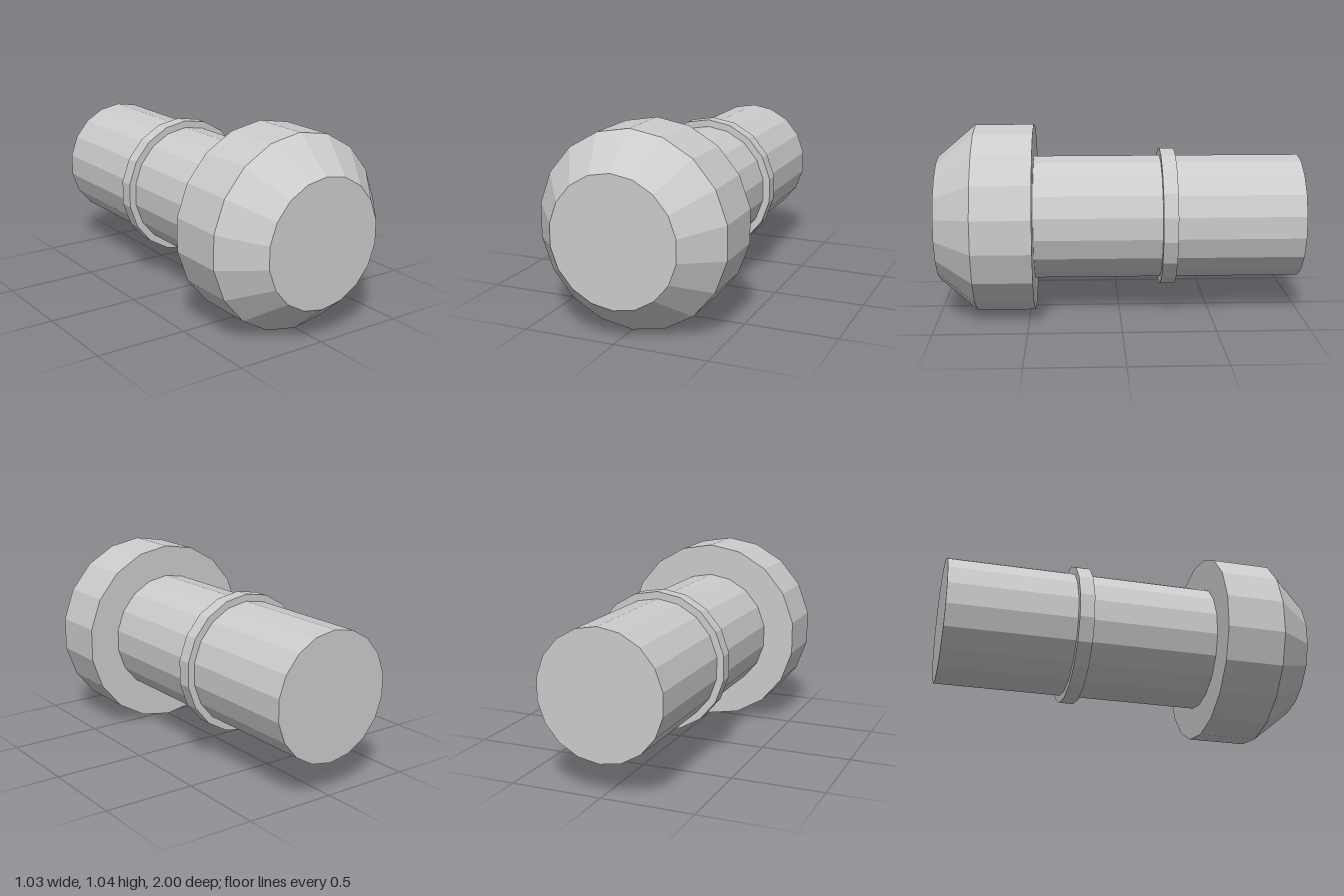
import * as THREE from 'three';

const SIDES = 18;
const AXIS_Y = 0.521;

export function createModel() {
  const group = new THREE.Group();
  group.name = 'flangedPlug';
  const material = new THREE.MeshStandardMaterial({ color: 0xcccccc, flatShading: true });

  // Faceted section along z, from zBack to zFront
  const addSection = (name, rFront, rBack, zFront, zBack, capped = true) => {
    const geometry = new THREE.CylinderGeometry(rFront, rBack, zFront - zBack, SIDES, 1, !capped);
    geometry.rotateX(Math.PI / 2);
    const mesh = new THREE.Mesh(geometry, material);
    mesh.name = name;
    mesh.position.set(0, AXIS_Y, (zFront + zBack) / 2);
    group.add(mesh);
  };

  // Head: chamfered nose and straight rim in one closed profile
  const profile = [[0, 0.47], [0.521, 0.47], [0.521, 0.79], [0.344, 1], [0, 1]];
  const headGeometry = new THREE.LatheGeometry(profile.map(([r, z]) => new THREE.Vector2(r, z)), SIDES);
  headGeometry.rotateX(Math.PI / 2);
  const head = new THREE.Mesh(headGeometry, material);
  head.name = 'head';
  head.position.y = AXIS_Y;
  group.add(head);

  // Shaft and its narrow collar
  addSection('shaft', 0.344, 0.344, 0.47, -1);
  addSection('collar', 0.383, 0.383, -0.225, -0.305);

  return group;
}
